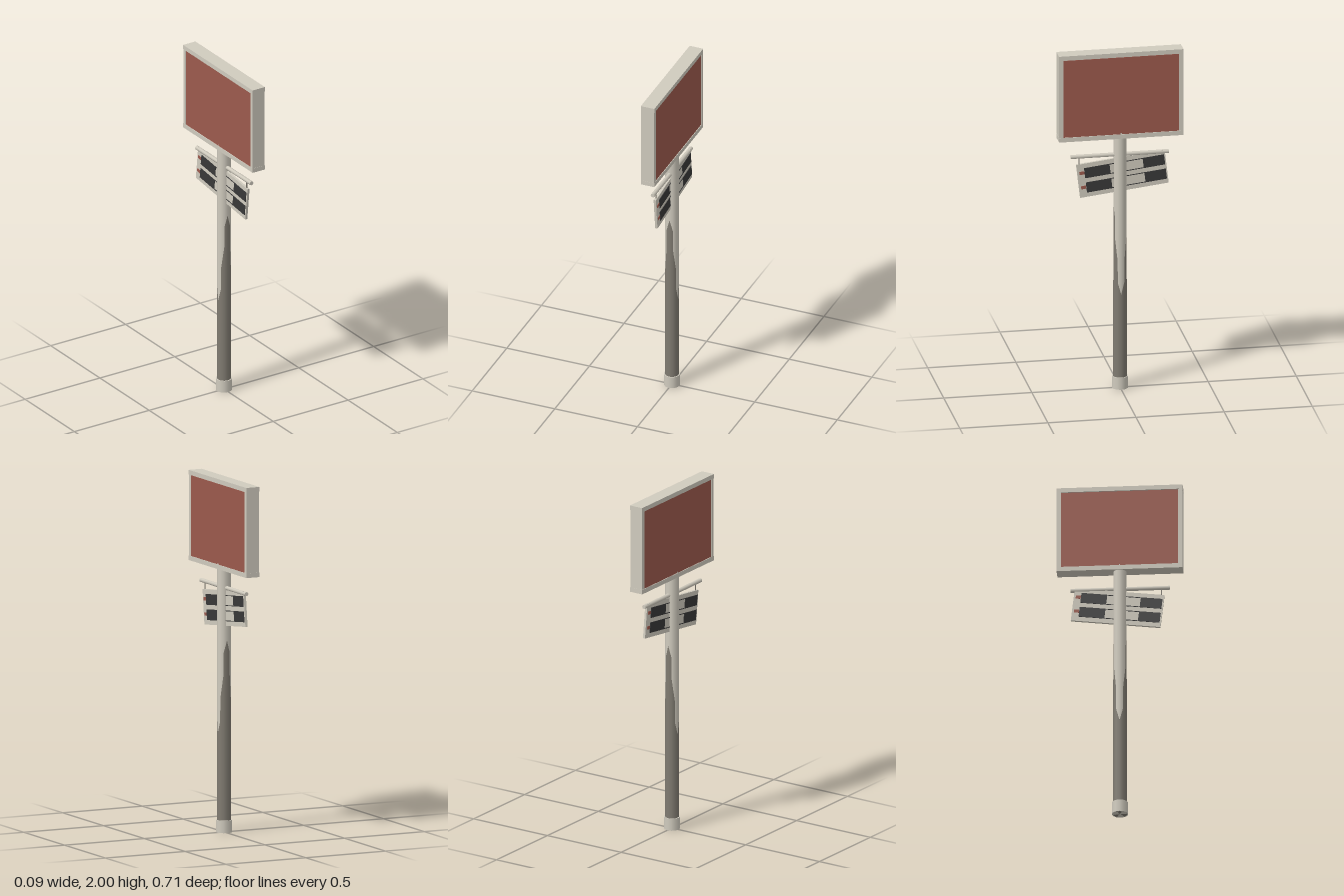
import * as THREE from 'three';

const material = (name, color) => {
  const m = new THREE.MeshStandardMaterial({ color });
  m.name = name;
  return m;
};

export function createModel() {
  const cream = material('cream metal', 0xd0cbbe);
  const grey = material('weathered grey metal', 0x807b71);
  const red = material('faded red', 0x9c5a4d);
  const dark = material('charcoal', 0x383838);

  const model = new THREE.Group();
  model.name = 'roadsideSign';

  const add = (parent, name, geometry, mat, x = 0, y = 0, z = 0) => {
    const mesh = new THREE.Mesh(geometry, mat);
    mesh.name = name;
    mesh.position.set(x, y, z);
    parent.add(mesh);
    return mesh;
  };
  const box = (parent, name, mat, w, h, d, x, y, z) =>
    add(parent, name, new THREE.BoxGeometry(w, h, d), mat, x, y, z);

  // Base collar
  add(model, 'baseCollar', new THREE.CylinderGeometry(0.046, 0.046, 0.07, 12), cream, 0, 0.035, 0);

  // Grey outer sleeve tapers until the slightly oval cream pole shows through it
  add(model, 'poleSleeve', new THREE.CylinderGeometry(0.036, 0.04, 1.5, 12), grey, 0, 0.75, 0);
  const pole = add(model, 'pole', new THREE.CylinderGeometry(1, 1, 1.45, 12), cream, 0, 0.798, 0);
  pole.scale.set(0.0385, 1, 0.0371);

  // Large sign: red faces within a cream frame
  const billboard = new THREE.Group();
  billboard.name = 'billboard';
  model.add(billboard);
  box(billboard, 'redPanel', red, 0.075, 0.456, 0.66, 0, 1.744, 0);
  for (const y of [1.503, 1.987]) {
    box(billboard, 'frameRail', cream, 0.082, 0.026, 0.706, 0, y, 0);
  }
  for (const s of [-1, 1]) {
    box(billboard, 'framePost', cream, 0.08, 0.458, 0.024, 0, 1.745, s * 0.34);
  }

  // Crossarm and hangers
  const arm = add(model, 'crossarm', new THREE.CylinderGeometry(0.012, 0.012, 0.556, 8), cream, 0, 1.385, 0.002);
  arm.rotation.x = Math.PI / 2;
  box(model, 'longHanger', grey, 0.005, 0.05, 0.005, 0, 1.36, 0.232);
  box(model, 'shortHanger', grey, 0.005, 0.03, 0.005, 0, 1.375, -0.243);

  // Tilted hanging board
  const board = new THREE.Group();
  board.name = 'hangingBoard';
  board.position.set(0, 1.269, -0.013);
  board.rotation.x = 0.117;
  model.add(board);
  box(board, 'boardPanel', cream, 0.014, 0.198, 0.505, 0, 0, 0);

  // Painted rows on both faces, each reading from the viewer's left
  for (const turn of [0, Math.PI]) {
    const face = new THREE.Group();
    face.name = 'boardFace';
    face.rotation.y = turn;
    board.add(face);
    for (const v of [-0.043, 0.043]) {
      box(face, 'wideDarkBlock', dark, 0.004, 0.06, 0.145, 0.008, v, 0.139);
      box(face, 'narrowDarkBlock', dark, 0.004, 0.06, 0.122, 0.008, v, -0.184);
      box(face, 'redMark', red, 0.004, 0.018, 0.028, 0.008, v + 0.003, 0.227);
      // Thin border lines joining the dark blocks
      for (const s of [-1, 1]) {
        box(face, 'borderLine', dark, 0.003, 0.004, 0.19, 0.008, v + s * 0.028, -0.028);
      }
    }
  }

  return model;
}
